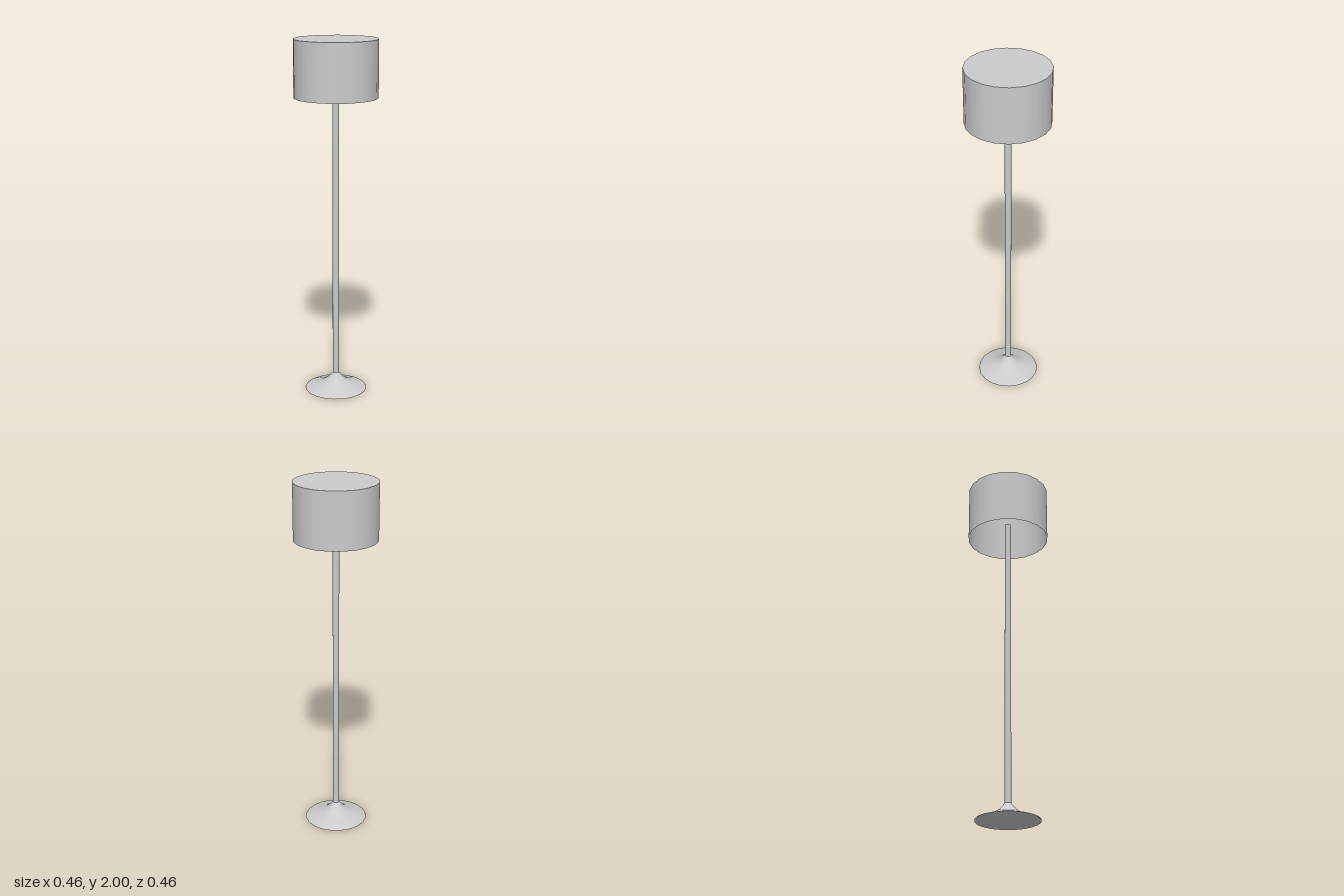
import * as THREE from 'three';

const SIDES = 20;
const material = new THREE.MeshStandardMaterial({ color: 0xcccccc, side: THREE.DoubleSide });

function addMesh(group, name, geometry, y = 0) {
  const mesh = new THREE.Mesh(geometry, material);
  mesh.name = name;
  mesh.position.y = y;
  group.add(mesh);
}

export function createModel() {
  const group = new THREE.Group();
  group.name = 'floorLamp';

  // Flared foot, hollow underneath
  const footProfile = [
    [0.176, 0], [0.174, 0.005], [0.13, 0.018], [0.088, 0.034],
    [0.058, 0.052], [0.035, 0.073], [0.018, 0.095],
  ].map(([r, y]) => new THREE.Vector2(r, y));
  addMesh(group, 'foot', new THREE.LatheGeometry(footProfile, SIDES));

  // Slender pole reaching partway into the shade
  const poleBottom = 0.09, poleTop = 1.78;
  addMesh(group, 'pole',
    new THREE.CylinderGeometry(0.018, 0.018, poleTop - poleBottom, SIDES),
    (poleBottom + poleTop) / 2);

  // Drum shade: thin wall, closed on top, open below
  const radius = 0.231, bottom = 1.684, top = 2;
  addMesh(group, 'shadeWall',
    new THREE.CylinderGeometry(radius, radius, top - bottom, SIDES, 1, true),
    (top + bottom) / 2);
  addMesh(group, 'shadeTop', new THREE.CircleGeometry(radius, SIDES).rotateX(-Math.PI / 2), top);

  return group;
}
